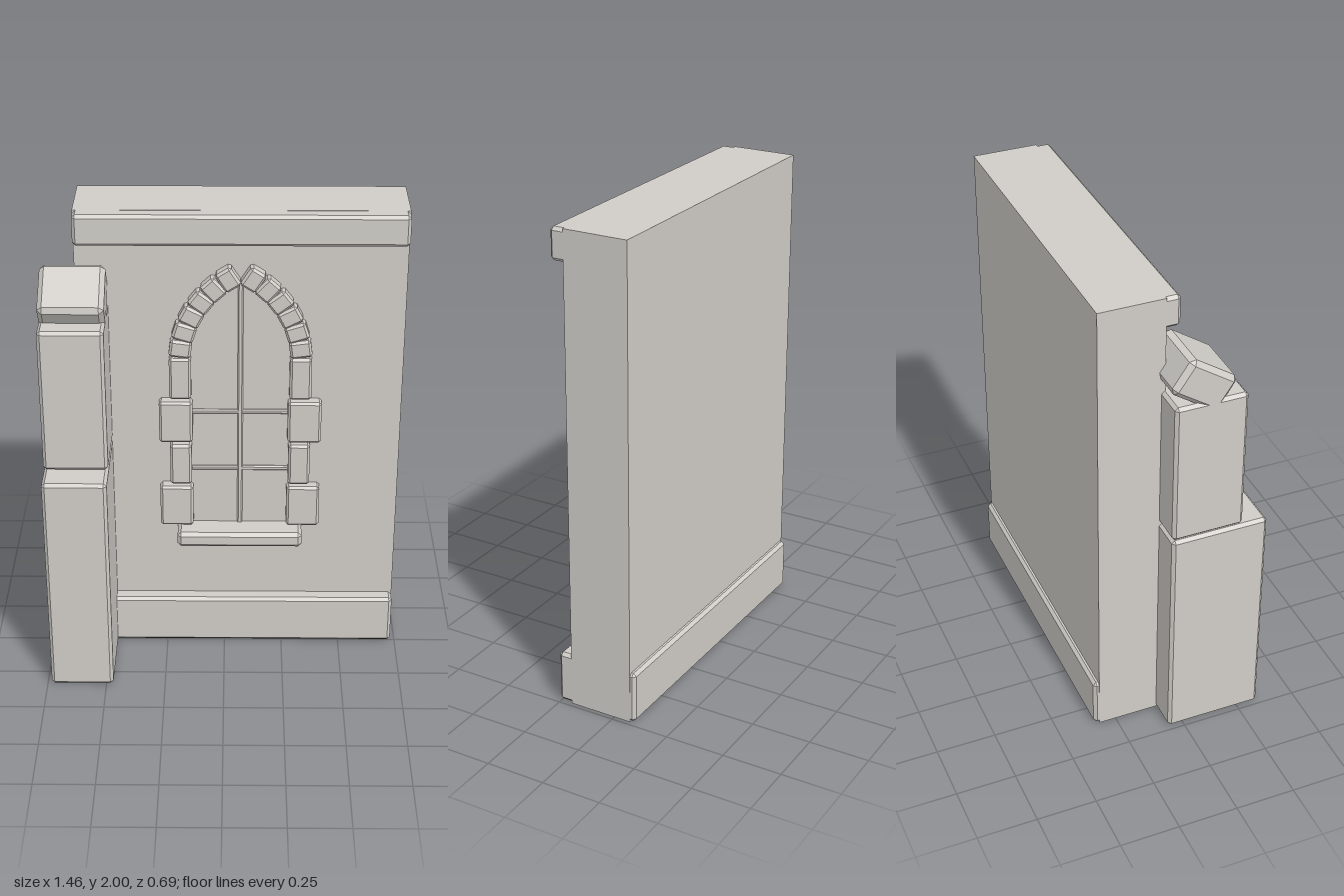
import * as THREE from 'three';
import { ConvexGeometry } from 'three/addons/geometries/ConvexGeometry.js';

// Box with flat chamfers on every edge, centred on the origin.
function chamferBox(w, h, d, c) {
  const half = [w / 2, h / 2, d / 2];
  const pts = [];
  for (const sx of [-1, 1]) for (const sy of [-1, 1]) for (const sz of [-1, 1])
    for (let face = 0; face < 3; face++) {
      const p = half.map((v, i) => (i === face ? v : v - c));
      pts.push(new THREE.Vector3(sx * p[0], sy * p[1], sz * p[2]));
    }
  return new ConvexGeometry(pts);
}

export function createModel() {
  const model = new THREE.Group();
  model.name = 'windowWall';
  const stone = new THREE.MeshStandardMaterial({ color: 0xd0cdc8 });
  stone.name = 'stone';
  const darkBase = new THREE.MeshStandardMaterial({ color: 0x6b6a67 });
  darkBase.name = 'darkBase';

  // Block given by its extents; c is the chamfer (0 for a plain box).
  function block(name, [x0, x1], [y0, y1], [z0, z1], c = 0, parent = model) {
    const size = [x1 - x0, y1 - y0, z1 - z0];
    const geo = c ? chamferBox(...size, c) : new THREE.BoxGeometry(...size).toNonIndexed();
    const mesh = new THREE.Mesh(geo, stone);
    mesh.name = name;
    mesh.position.set((x0 + x1) / 2, (y0 + y1) / 2, (z0 + z1) / 2);
    parent.add(mesh);
    return mesh;
  }

  // Give the downward faces of a ground-level block the dark colour.
  function darkenUnderside(mesh) {
    const { normal } = mesh.geometry.attributes;
    mesh.geometry.clearGroups();
    for (let i = 0; i < normal.count; i += 3)
      mesh.geometry.addGroup(i, 3, normal.getY(i) < -0.6 ? 1 : 0);
    mesh.material = [stone, darkBase];
  }

  // Wall slab with its cornice and plinths
  const run = [-0.599, 0.731];
  const wall = block('wall', [-0.6, 0.732], [0, 2], [-0.322, -0.05]);
  block('cornice', run, [1.869, 1.999], [-0.1, 0.01], 0.013);
  const frontPlinth = block('frontPlinth', run, [0.001, 0.22], [-0.1, 0.01], 0.013);
  const backPlinth = block('backPlinth', run, [0.001, 0.22], [-0.344, -0.28], 0.013);

  // Stepped buttress with a tilted capstone
  const bx = [-0.733, -0.47];
  const lowerButtress = block('lowerButtress', bx, [0, 0.98], [-0.065, 0.342], 0.013);
  block('upperButtress', bx, [0.985, 1.602], [-0.065, 0.234], 0.013);
  const cap = block('capstone', bx, [1.592, 1.75], [-0.061, 0.169], 0.02);
  cap.rotation.x = 0.595;
  [wall, frontPlinth, backPlinth, lowerButtress].forEach(darkenUnderside);

  // Pointed window, built around its own centre line
  const win = new THREE.Group();
  win.name = 'window';
  win.position.x = 0.065;
  model.add(win);
  block('sill', [-0.264, 0.264], [0.512, 0.58], [-0.07, 0.06], 0.015, win);
  block('mullion', [-0.011, 0.011], [0.57, 1.7], [-0.06, -0.04], 0.005, win);
  for (const y of [0.845, 1.113])
    block('glazingBar', [-0.205, 0.205], [y - 0.01, y + 0.01], [-0.06, -0.041], 0.005, win);

  // Jamb stones: alternating wide and narrow, [inner, outer, bottom, top]
  const jambs = [
    [0.197, 0.336, 0.586, 0.775], [0.202, 0.292, 0.787, 0.975],
    [0.197, 0.336, 0.987, 1.175], [0.202, 0.292, 1.188, 1.375],
  ];
  const z = [-0.065, 0];
  for (const s of [-1, 1]) {
    for (const [a, b, y0, y1] of jambs)
      block('jambStone', s > 0 ? [a, b] : [-b, -a], [y0, y1], z, 0.01, win);

    // Arch stones along an arc struck from beyond the centre line
    for (let i = 0; i < 6; i++) {
      const t = THREE.MathUtils.degToRad(7.5 + 10 * i);
      const v = block('archStone', [-0.045, 0.045], [-0.037, 0.037], z, 0.01, win);
      v.position.x = s * (-0.179 + 0.427 * Math.cos(t));
      v.position.y = 1.36 + 0.427 * Math.sin(t);
      v.rotation.z = s * t;
    }
  }
  return model;
}
